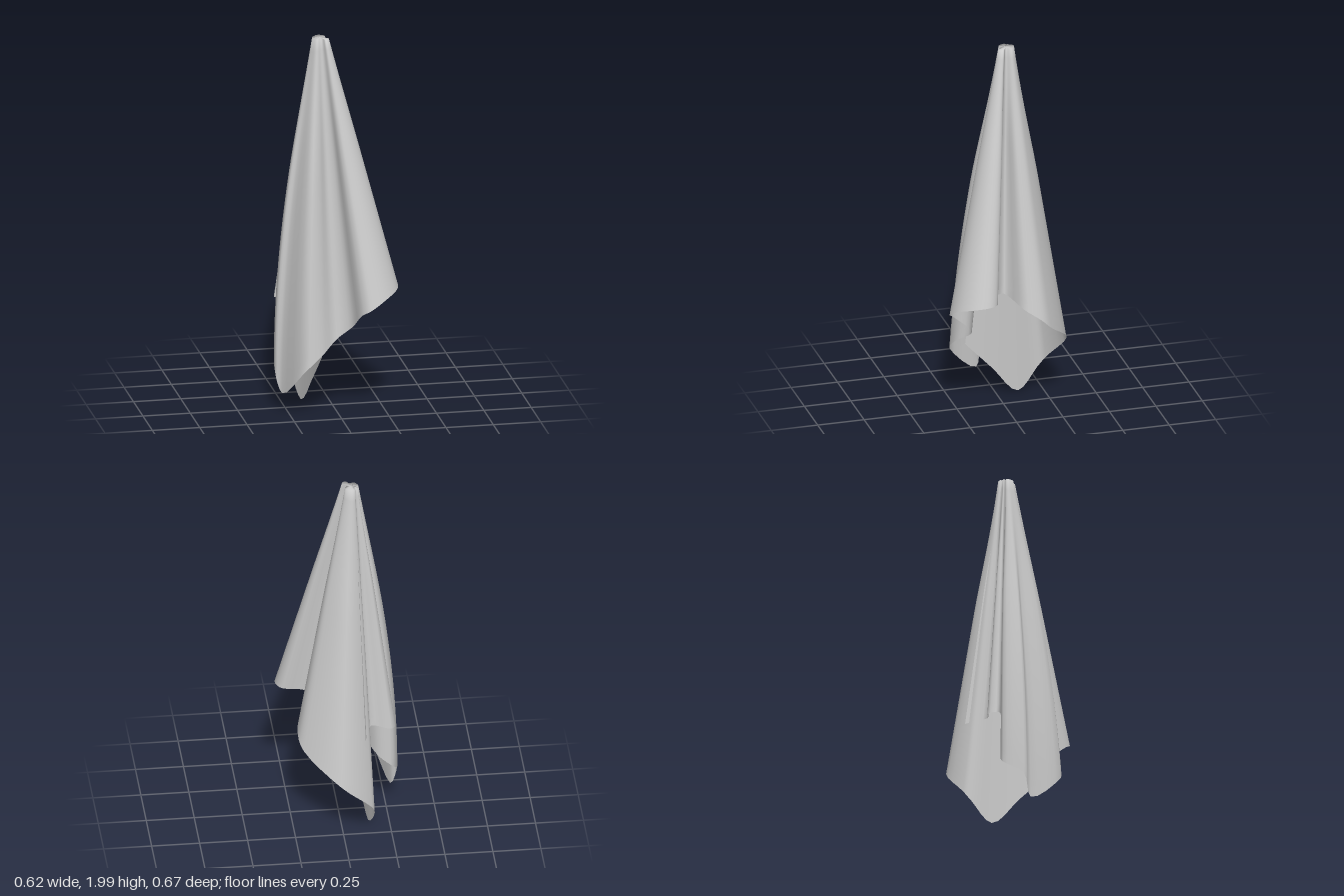
import * as THREE from 'three';

// Hem of the cloth as one open strip: x, y, z
const HEM = [
  // overlapping flap at the back
  [-0.115, 0.58, -0.255], [-0.155, 0.6, -0.145], [-0.26, 0.58, -0.155],
  [-0.285, 0.58, -0.105], [-0.15, 0.6, -0.062], [-0.115, 0.54, 0.02],
  // curled lobe on the -x side
  [-0.137, 0.45, 0], [-0.2, 0.37, -0.075], [-0.28, 0.3, -0.08],
  [-0.31, 0.23, 0.025], [-0.278, 0.11, 0.065], [-0.19, 0.27, 0.235],
  // front sheet
  [-0.1, 0.35, 0.23], [-0.01, 0.42, 0.172], [0.065, 0.49, 0.205],
  // lobe on the +x side
  [0.1, 0.58, 0.3], [0.14, 0.61, 0.33], [0.225, 0.66, 0.305], [0.295, 0.69, 0.235],
  [0.31, 0.7, 0.16], [0.28, 0.7, 0.11], [0.175, 0.69, 0.1],
  // wide back lobe
  [0.085, 0.67, 0.02], [0.205, 0.62, -0.055], [0.225, 0.56, -0.14], [0.2, 0.5, -0.2],
  [0.02, 0.35, -0.335], [-0.145, 0.18, -0.27], [-0.165, 0.12, -0.23], [-0.142, 0.01, -0.12],
  // inner edge tucked behind the front sheet
  [-0.11, 0.17, 0.03], [-0.09, 0.33, 0.18],
];

const SPANS = HEM.length - 1, COLS = SPANS * 4, ROWS = 28;

// Averages neighbours so the pleats soften towards the gathered top
function smooth(points, passes) {
  let list = points;
  for (let k = 0; k < passes; k++) {
    list = list.map((p, i) => {
      const a = list[Math.max(0, i - 1)], b = list[Math.min(list.length - 1, i + 1)];
      return p.clone().multiplyScalar(0.5).addScaledVector(a, 0.25).addScaledVector(b, 0.25);
    });
  }
  return list;
}

// The curled lobe hangs in a rounded arc, the rest falls straight
function bulgeAt(column) {
  const f = THREE.MathUtils.clamp((column / COLS * SPANS - 5.5) / 7, 0, 1);
  return Math.sin(f * Math.PI);
}

function clothGeometry() {
  const curve = new THREE.CatmullRomCurve3(HEM.map((h) => new THREE.Vector3(...h)), false, 'centripetal');
  const hem = curve.getPoints(COLS), soft = smooth(hem, 14);

  const pos = [], index = [];
  // row 0 closes the gathered top, the others run down to the hem
  for (let j = 0; j <= ROWS; j++) {
    const s = Math.max(0, j - 1) / (ROWS - 1);
    const keep = THREE.MathUtils.smoothstep(s, 0, 0.45);
    for (let i = 0; i <= COLS; i++) {
      if (j === 0) { pos.push(-0.06, 2, -0.03); continue; }
      const p = soft[i].clone().lerp(hem[i], keep);
      const f = THREE.MathUtils.lerp(s, Math.sin(s * Math.PI / 2), bulgeAt(i));
      const topX = -0.06 + 0.14 * p.x, topZ = -0.03 + 0.15 * p.z;
      pos.push(topX + (p.x - topX) * f, 2 + (hem[i].y - 2) * s, topZ + (p.z - topZ) * f);
    }
  }
  const w = COLS + 1;
  for (let j = 0; j < ROWS; j++) {
    for (let i = 0; i < COLS; i++) {
      const a = j * w + i, b = a + 1, c = a + w, d = c + 1;
      if (j > 0) index.push(a, c, b);
      index.push(b, c, d);
    }
  }
  const geo = new THREE.BufferGeometry();
  geo.setAttribute('position', new THREE.Float32BufferAttribute(pos, 3));
  geo.setIndex(index);
  geo.computeVertexNormals();
  return geo;
}

export function createModel() {
  const group = new THREE.Group();
  group.name = 'hangingTowel';
  const cloth = new THREE.Mesh(
    clothGeometry(),
    new THREE.MeshStandardMaterial({ color: 0xcccccc, side: THREE.DoubleSide }),
  );
  cloth.name = 'cloth';
  group.add(cloth);
  return group;
}
